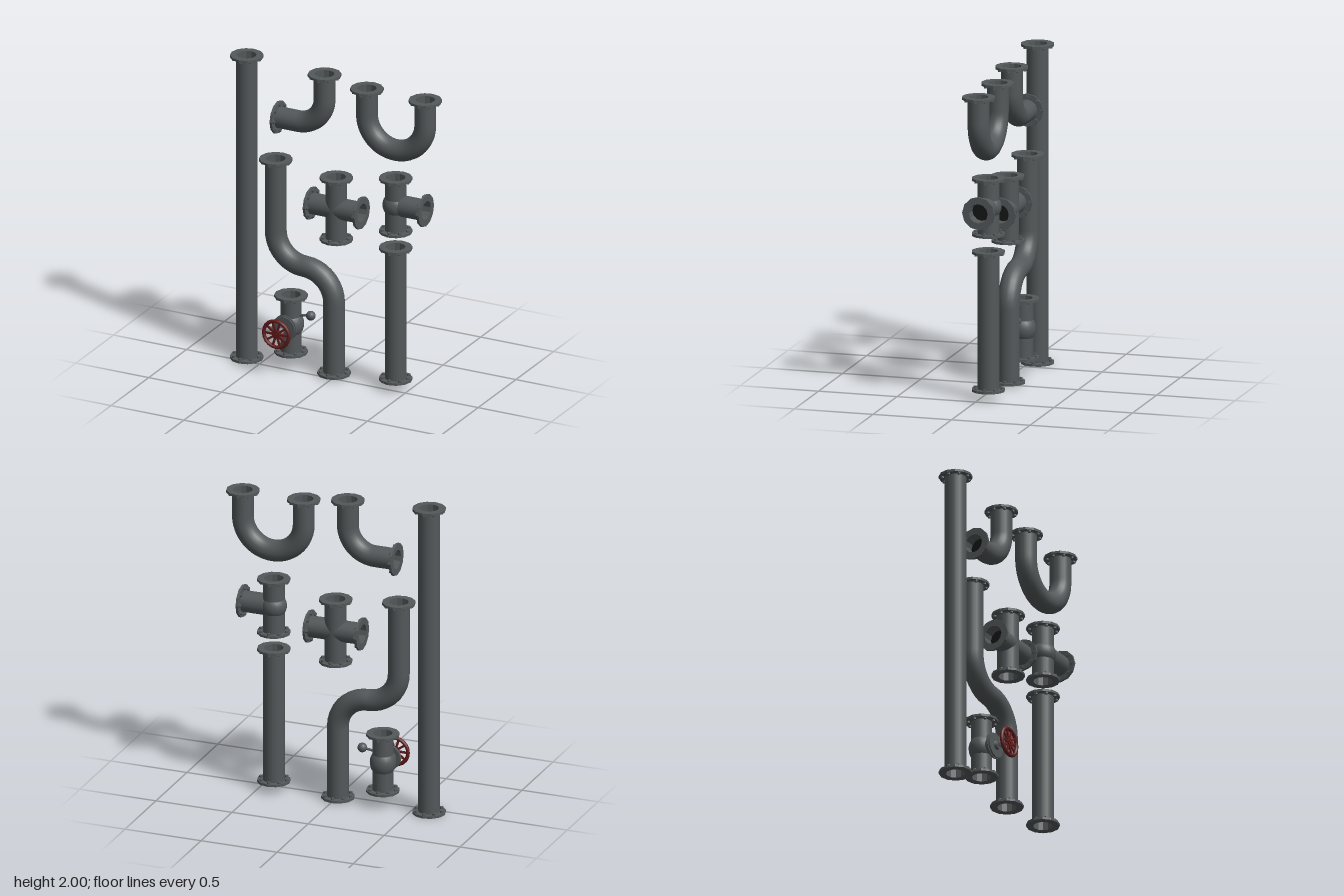
import * as THREE from 'three';
import { mergeGeometries } from 'three/addons/utils/BufferGeometryUtils.js';

const R = 0.067;          // pipe radius
const Z = -0.053;         // plane of all pipe axes
const UP = new THREE.Vector3(0, 1, 0);

const mat = (name, color, side = THREE.FrontSide) => {
  const m = new THREE.MeshStandardMaterial({ color, side });
  m.name = name;
  return m;
};

const steel = mat('steel', 0x53585a, THREE.DoubleSide);
const bore = mat('bore', 0x151616);
const bright = mat('brightSteel', 0x787d7e);
const red = mat('wheelRed', 0x641c1c);

const v = (x, y, z = Z) => new THREE.Vector3(x, y, z);

function add(parent, name, geometry, material) {
  const m = new THREE.Mesh(geometry, material);
  m.name = name;
  parent.add(m);
  return m;
}

function flat(geometry) {
  const g = geometry.index ? geometry.toNonIndexed() : geometry;
  g.computeVertexNormals();
  return g;
}

// Faceted flange ring with a recessed bore; its face lies at y = 0
const profile = [[0.06, -0.015], [0.103, -0.015], [0.103, 0], [0.06, 0], [0.06, -0.08]];
const ring = flat(new THREE.LatheGeometry(profile.map(p => new THREE.Vector2(...p)), 12));
const bolts = [];
for (let i = 0; i < 8; i++) {
  const a = i * Math.PI / 4;
  bolts.push(flat(new THREE.CylinderGeometry(0.011, 0.011, 0.012, 6)
    .translate(0.084 * Math.cos(a), -0.02, 0.084 * Math.sin(a))));
}
const flangeGeometry = mergeGeometries([ring, ...bolts]);
const boreGeometry = new THREE.CircleGeometry(0.061, 12).rotateX(-Math.PI / 2).translate(0, -0.075, 0);

function addFlange(parent, position, direction) {
  const g = new THREE.Group();
  g.name = 'flange';
  add(g, 'flangeRing', flangeGeometry, steel);
  add(g, 'boreEnd', boreGeometry, bore);
  g.position.copy(position);
  g.quaternion.setFromUnitVectors(UP, direction);
  parent.add(g);
}

// Flanged pipe through corner points, each corner rounded by a quarter bend
function pipe(parent, name, pts, bend = 0, radius = R) {
  const group = new THREE.Group();
  group.name = name;
  const n = pts.length;
  const startDir = pts[0].clone().sub(pts[1]).normalize();
  const endDir = pts[n - 1].clone().sub(pts[n - 2]).normalize();
  const path = new THREE.CurvePath();
  let from = pts[0].clone().addScaledVector(startDir, -0.007);
  const line = to => { if (from.distanceTo(to) > 0.002) path.add(new THREE.LineCurve3(from, to)); };
  for (let i = 1; i < n - 1; i++) {
    const c = pts[i];
    const d0 = pts[i - 1].clone().sub(c).normalize();
    const d1 = pts[i + 1].clone().sub(c).normalize();
    const at = (d, s) => c.clone().addScaledVector(d, bend * s);
    line(at(d0, 1));
    path.add(new THREE.CubicBezierCurve3(at(d0, 1), at(d0, 0.4477), at(d1, 0.4477), at(d1, 1)));
    from = at(d1, 1);
  }
  line(pts[n - 1].clone().addScaledVector(endDir, -0.007));
  add(group, 'tube', new THREE.TubeGeometry(path, n > 2 ? 44 : 1, radius, 20), steel);
  addFlange(group, pts[0], startDir);
  addFlange(group, pts[n - 1], endDir);
  parent.add(group);
  return group;
}

// Disc or rod with its axis along z, between two depths
function rod(parent, name, r, z0, z1, material, sides = 12, r2 = r) {
  const g = new THREE.CylinderGeometry(r2, r, z1 - z0, sides).rotateX(Math.PI / 2);
  return add(parent, name, g.translate(0, 0, (z0 + z1) / 2), material);
}

function buildValve(parent) {
  const x = -0.31, y = 0.286;
  const valve = pipe(parent, 'valve', [v(x, 0.095), v(x, 0.477)], 0, 0.064);
  const swell = add(valve, 'valveBody', new THREE.SphereGeometry(0.08, 20, 14), steel);
  swell.scale.y = 1.15;
  swell.position.copy(v(x, y));

  // Bonnet, stem and gland facing the front
  const top = new THREE.Group();
  top.name = 'bonnetAndWheel';
  top.position.set(x, y, 0);
  valve.add(top);
  rod(top, 'bonnetNeck', 0.055, -0.03, 0.03, steel, 16);
  rod(top, 'bonnetFlangeBack', 0.083, 0.028, 0.038, steel);
  rod(top, 'bonnetFlangeFront', 0.08, 0.042, 0.052, steel);
  rod(top, 'bonnetSpacer', 0.06, 0.036, 0.044, steel);
  rod(top, 'gland', 0.03, 0.052, 0.066, steel, 12, 0.022);
  rod(top, 'stem', 0.013, 0.05, 0.14, bright, 10);
  add(top, 'stemNut', new THREE.SphereGeometry(0.025, 12, 8), bright).position.z = 0.093;
  rod(top, 'stemCollar', 0.021, 0.112, 0.124, bright, 10);

  // Hand wheel
  const wheel = new THREE.Group();
  wheel.name = 'handWheel';
  wheel.position.z = 0.143;
  top.add(wheel);
  add(wheel, 'rim', new THREE.TorusGeometry(0.086, 0.012, 8, 20), red);
  rod(wheel, 'hub', 0.028, -0.012, 0.01, red);
  rod(wheel, 'hubCap', 0.012, 0.009, 0.013, red, 6);
  for (let i = 0; i < 10; i++) {
    const spoke = add(wheel, 'spoke', new THREE.BoxGeometry(0.064, 0.013, 0.009).translate(0.052, 0, 0), red);
    spoke.rotation.z = i * Math.PI / 5;
  }

  // Side lever with a round knob
  const a = v(x + 0.045, 0.35), b = v(-0.175, 0.362);
  add(valve, 'leverRod', new THREE.TubeGeometry(new THREE.LineCurve3(a, b), 1, 0.008, 8), steel);
  add(valve, 'leverKnob', new THREE.SphereGeometry(0.03, 14, 10), steel).position.copy(b);
}

export function createModel() {
  const model = new THREE.Group();
  model.name = 'pipeFittings';

  // Straight runs
  pipe(model, 'longPipe', [v(-0.614, 0), v(-0.614, 2)]);
  pipe(model, 'shortPipe', [v(0.407, 0.053), v(0.407, 0.929)]);

  // Bent runs
  pipe(model, 'elbow', [v(-0.405, 1.63), v(-0.08, 1.63), v(-0.08, 1.976)], 0.18);
  pipe(model, 'uBend', [v(0.21, 1.937), v(0.21, 1.567), v(0.61, 1.567), v(0.61, 1.937)], 0.2);
  pipe(model, 'sBend', [v(-0.415, 1.354), v(-0.415, 0.68), v(-0.015, 0.68), v(-0.015, 0.01)], 0.2);

  // Four-way cross
  const cross = pipe(model, 'cross', [v(0, 0.896), v(0, 1.312)]);
  pipe(cross, 'crossArm', [v(-0.178, 1.106), v(0.178, 1.106)]);

  // Tee with a swollen centre
  const tee = pipe(model, 'tee', [v(0.407, 1.026), v(0.407, 1.386)]);
  const arm = new THREE.Group();
  arm.name = 'teeArm';
  tee.add(arm);
  add(arm, 'tube', new THREE.TubeGeometry(
    new THREE.LineCurve3(v(0.407, 1.206), v(0.61, 1.206)), 1, R, 20), steel);
  addFlange(arm, v(0.617, 1.206), new THREE.Vector3(1, 0, 0));
  add(tee, 'teeSwell', new THREE.SphereGeometry(0.081, 20, 14), steel).position.copy(v(0.407, 1.206));

  buildValve(model);
  return model;
}
